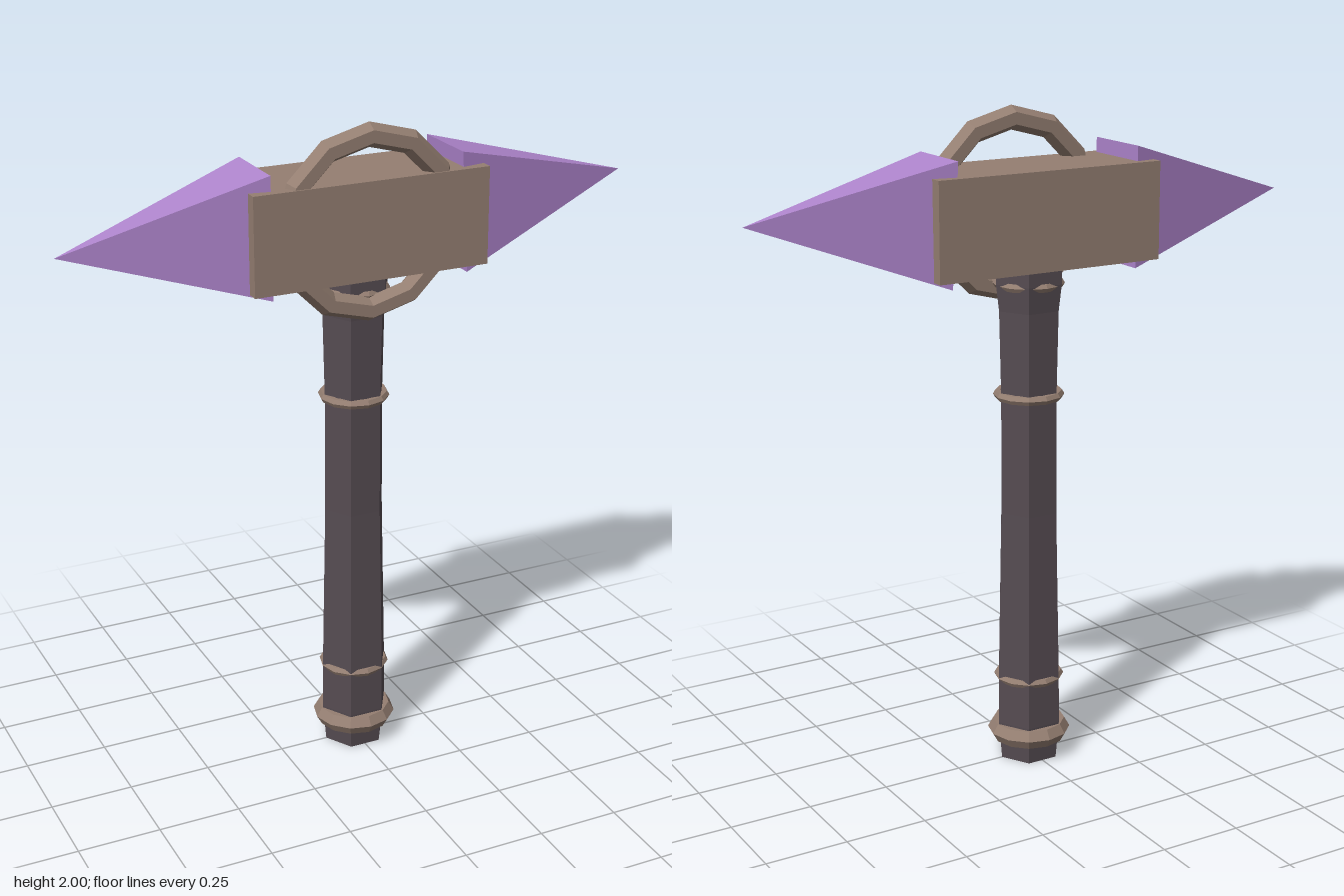
import * as THREE from 'three';

const material = (color) => new THREE.MeshStandardMaterial({ color, flatShading: true });
const BROWN = material(0x957f72);
const DARK = material(0x564c52);
const PURPLE = material(0xae84cc);

export function createModel() {
  const group = new THREE.Group();
  const add = (name, geometry, mat, x = 0, y = 0, z = 0) => {
    const mesh = new THREE.Mesh(geometry, mat);
    mesh.name = name;
    mesh.position.set(x, y, z);
    group.add(mesh);
    return mesh;
  };

  // Six-sided handle, slightly waisted and flared under the head
  const profile = [[0, 0], [0.096, 0], [0.107, 0.12], [0.106, 0.27], [0.095, 0.8],
    [0.094, 1.16], [0.1, 1.42], [0.11, 1.5], [0.11, 1.6], [0, 1.6]];
  const handle = new THREE.LatheGeometry(profile.map(([r, y]) => new THREE.Vector2(r, y)), 6);
  handle.rotateY(Math.PI / 6);
  add('handle', handle, DARK);

  // Thin bands around the handle and the heavier pommel collar
  const bands = [
    ['lowerBand', 0.265, 0.093, 0.014],
    ['upperBand', 1.16, 0.092, 0.014],
    ['neckBand', 1.495, 0.092, 0.014],
    ['pommelCollar', 0.085, 0.094, 0.033],
  ];
  for (const [name, y, radius, tube] of bands) {
    const band = new THREE.TorusGeometry(radius, tube, 6, 12);
    band.rotateX(Math.PI / 2);
    add(name, band, BROWN, 0, y, 0);
  }

  // Hammer head block
  add('headBlock', new THREE.BoxGeometry(0.73, 0.29, 0.27), BROWN, 0, 1.695, 0);

  // Upright ring set into the front of the head
  add('headRing', new THREE.TorusGeometry(0.254, 0.036, 6, 12), BROWN, 0, 1.71, 0.099);

  // Four-sided spikes, one at each end, the left one tilted up a little
  const addSpike = (name, side, tilt) => {
    const spike = new THREE.ConeGeometry(Math.SQRT1_2, 1, 4);
    spike.rotateY(Math.PI / 4);
    spike.translate(0, 0.5, 0);
    spike.scale(0.36, 0.587, 0.222);
    spike.rotateZ(-side * Math.PI / 2 + tilt);
    add(name, spike, PURPLE, side * 0.301, 1.705, 0);
  };
  addSpike('leftSpike', 1, 0.058);
  addSpike('rightSpike', -1, 0.01);

  return group;
}
